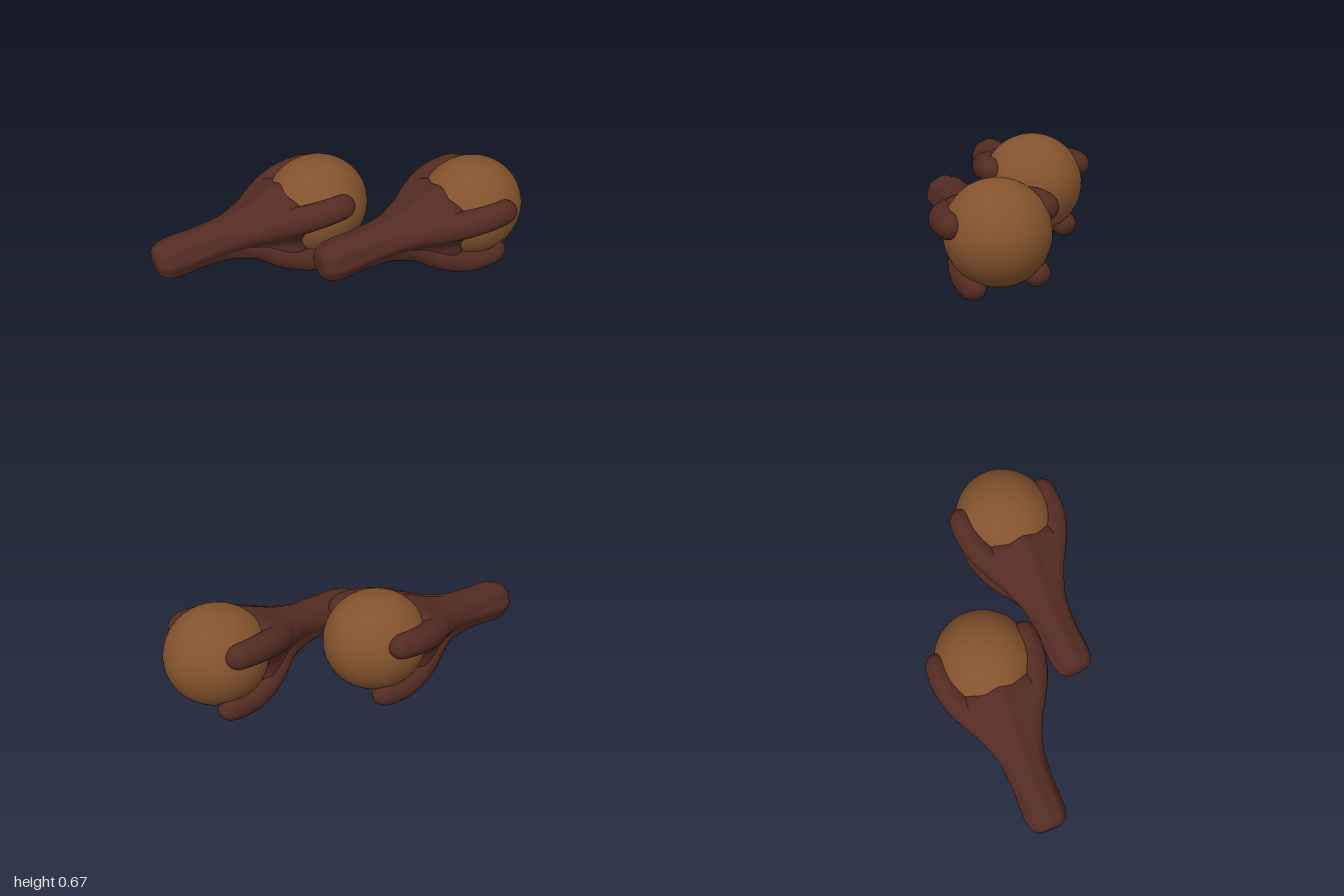
import * as THREE from 'three';
import { ParametricGeometry } from 'three/addons/geometries/ParametricGeometry.js';

const bark = new THREE.MeshStandardMaterial({ color: 0x532b22 });
bark.name = 'dark bark';
const nut = new THREE.MeshStandardMaterial({ color: 0x84532d });
nut.name = 'brown nut';

// Four fingers around the axis: direction and extra spread (two upper, two lower)
const fingers = [
  { name: 'upperFinger', angle: 20, spread: 0 },
  { name: 'upperFinger', angle: 160, spread: 0 },
  { name: 'lowerFinger', angle: -55, spread: 0.033 },
  { name: 'lowerFinger', angle: -125, spread: 0.033 },
].map((f) => ({ ...f, angle: THREE.MathUtils.degToRad(f.angle) }));

// Smooth curve through a few points
const curveOf = (points) =>
  new THREE.CatmullRomCurve3(points.map((p) => new THREE.Vector3(...p)), false, 'centripetal');

// Stem that flares into a cup, swelling towards each finger; points are [along axis, radius, swell]
function stemGeometry() {
  const profile = curveOf([
    [-1.1, 0.001, 0], [-1.09, 0.082, 0], [-1.03, 0.118, 0], [-0.8, 0.122, 0],
    [-0.62, 0.127, 0.02], [-0.47, 0.155, 0.055], [-0.35, 0.195, 0.072],
    [-0.26, 0.221, 0.07], [-0.19, 0.212, 0.05],
  ]);
  const p = new THREE.Vector3();
  return new ParametricGeometry((u, v, target) => {
    const a = u * Math.PI * 2;
    profile.getPoint(v, p);
    let swell = 0;
    for (const f of fingers) {
      const gap = Math.atan2(Math.sin(a - f.angle), Math.cos(a - f.angle));
      swell += Math.exp(-((gap / 0.42) ** 2));
    }
    const ridges = 1 + 0.025 * Math.cos(a * 8);
    const r = p.y * ridges + p.z * swell;
    target.set(Math.cos(a) * r, Math.sin(a) * r, p.x);
  }, 64, 48);
}

// Finger growing out of the stem and along the ball, with a round tip
function fingerGeometry({ angle, spread }) {
  const path = curveOf([
    [0, 0, -0.82], [0, 0.03, -0.62], [0, 0.11 + spread * 0.5, -0.45],
    [0, 0.2 + spread, -0.32], [0, 0.275 + spread, -0.18],
    [0, 0.303 + spread, -0.04], [0, 0.293 + spread, 0.12],
  ]);
  const p = new THREE.Vector3();
  const t = new THREE.Vector3();
  const out = new THREE.Vector3(Math.cos(angle), Math.sin(angle), 0);
  const side = new THREE.Vector3(-out.y, out.x, 0);
  const capStart = 0.91;
  return new ParametricGeometry((u, v, target) => {
    const a = u * Math.PI * 2;
    const cap = Math.max(0, (v - 0.8) / 0.2) * Math.PI * 0.497;
    const along = Math.min(v / 0.8, 1) * capStart + Math.sin(cap) * (1 - capStart);
    path.getPointAt(along, p);
    path.getTangentAt(along, t);
    const r = (0.1 - 0.03 * along) * Math.cos(cap);
    const radial = p.y + Math.cos(a) * r * t.z;
    target.copy(out).multiplyScalar(radial).addScaledVector(side, Math.sin(a) * r * 1.06);
    target.z = p.z - Math.cos(a) * r * t.y;
  }, 24, 50);
}

function addMesh(parent, name, geometry, material) {
  const mesh = new THREE.Mesh(geometry, material);
  mesh.name = name;
  parent.add(mesh);
  return mesh;
}

// One stem holding a ball; local +z runs from the stem end to the ball
function createPod(name, centre, direction, roll) {
  const pod = new THREE.Group();
  pod.name = name;
  // Ball slightly longer towards the stem
  const ball = addMesh(pod, 'ball', new THREE.SphereGeometry(0.305, 48, 32), nut);
  ball.scale.z = 1.06;
  ball.position.z = -0.013;
  addMesh(pod, 'stemAndCup', stemGeometry(), bark);
  for (const finger of fingers) addMesh(pod, finger.name, fingerGeometry(finger), bark);
  pod.position.set(...centre);
  pod.lookAt(new THREE.Vector3(...centre).add(new THREE.Vector3(...direction)));
  pod.rotateZ(roll);
  return pod;
}

export function createModel() {
  const model = new THREE.Group();
  model.name = 'podPair';
  model.add(
    createPod('rightPod', [-0.22, 0.374, -0.115], [0.66, 0.115, -0.75], -0.01),
    createPod('leftPod', [0.68, 0.38, -0.44], [0.625, 0.09, -0.79], 0.09),
  );
  return model;
}
